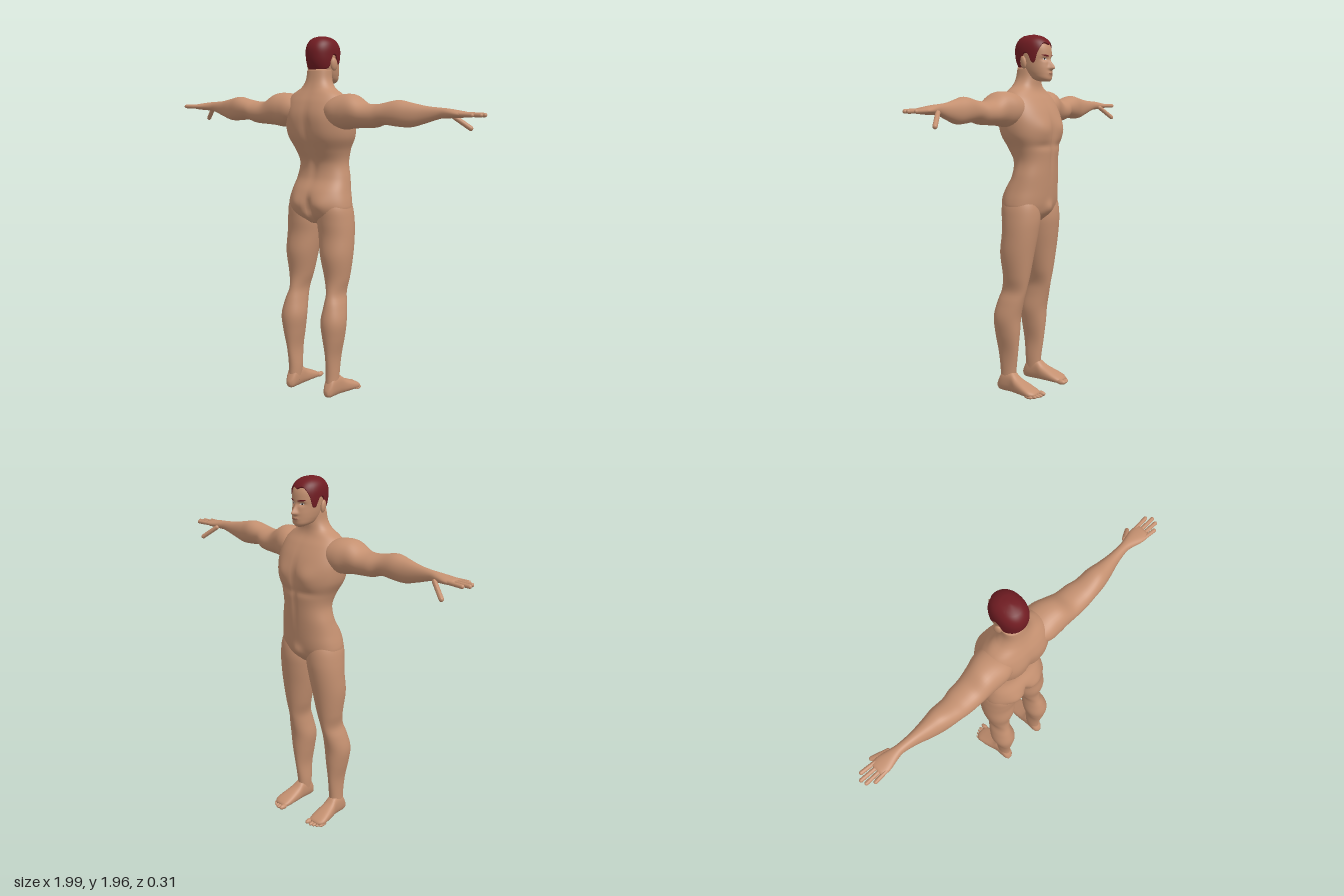
import * as THREE from 'three';

const mat = (name, color, side = THREE.FrontSide) => {
  const m = new THREE.MeshStandardMaterial({ color, side });
  m.name = name;
  return m;
};

// Smooth interpolation of rows [t, ...values]
function sample(rows, t) {
  let i = 0;
  while (i < rows.length - 2 && t > rows[i + 1][0]) i++;
  const a = rows[i], b = rows[i + 1], p = rows[i - 1] ?? a, q = rows[i + 2] ?? b;
  const h = b[0] - a[0], k = THREE.MathUtils.clamp((t - a[0]) / h, 0, 1), k2 = k * k, k3 = k2 * k;
  return a.slice(1).map((v, n) => {
    const c = n + 1;
    const m0 = (b[c] - p[c]) / (b[0] - p[0]) * h, m1 = (q[c] - a[c]) / (q[0] - a[0]) * h;
    return (2 * k3 - 3 * k2 + 1) * v + (k3 - 2 * k2 + k) * m0 + (3 * k2 - 2 * k3) * b[c] + (k3 - k2) * m1;
  });
}

// Point on a superellipse section bounded by [a0, a1, b0, b1]
function ringPoint(rows, t, ang, e) {
  const [a0, a1, b0, b1] = sample(rows, t);
  const pw = v => Math.sign(v) * Math.abs(v) ** (2 / e);
  return [(a0 + a1) / 2 + (a1 - a0) / 2 * pw(Math.cos(ang)), (b0 + b1) / 2 + (b1 - b0) / 2 * pw(Math.sin(ang))];
}

// Closed tube of rings with fan caps; fn(angle, v) gives [x, y, z]
function rings(nu, nv, fn, capStart = true) {
  const pos = [], idx = [];
  for (let j = 0; j <= nv; j++) for (let i = 0; i < nu; i++) pos.push(...fn(i / nu * Math.PI * 2, j / nv));
  const at = (j, i) => j * nu + i % nu;
  for (let j = 0; j < nv; j++) for (let i = 0; i < nu; i++)
    idx.push(at(j, i), at(j + 1, i), at(j + 1, i + 1), at(j, i), at(j + 1, i + 1), at(j, i + 1));
  const cap = (j, flip) => {
    const c = [0, 0, 0], k = pos.length / 3;
    for (let i = 0; i < nu; i++) for (let d = 0; d < 3; d++) c[d] += pos[at(j, i) * 3 + d] / nu;
    pos.push(...c);
    for (let i = 0; i < nu; i++) flip ? idx.push(k, at(j, i + 1), at(j, i)) : idx.push(k, at(j, i), at(j, i + 1));
  };
  if (capStart) cap(0, false);
  cap(nv, true);
  return finish(pos, idx);
}

function finish(pos, idx) {
  const g = new THREE.BufferGeometry();
  g.setAttribute('position', new THREE.Float32BufferAttribute(pos, 3));
  g.setIndex(idx);
  g.computeVertexNormals();
  return g;
}

// Loft through rows; place(t, a, b) sets the axis order
function loft(rows, nu, nv, e, place) {
  const t0 = rows[0][0], t1 = rows[rows.length - 1][0];
  return rings(nu, nv, (ang, v) => {
    const t = t0 + (t1 - t0) * v;
    return place(t, ...ringPoint(rows, t, ang, e));
  });
}

function mirror(geo) {
  const g = geo.clone(), p = g.attributes.position, ix = g.index.array;
  for (let i = 0; i < p.count; i++) p.setX(i, -p.getX(i));
  for (let i = 0; i < ix.length; i += 3) [ix[i], ix[i + 1]] = [ix[i + 1], ix[i]];
  g.computeVertexNormals();
  return g;
}

// Rounded finger between two points
function digit(p, q, r) {
  const a = new THREE.Vector3(...p), b = new THREE.Vector3(...q), d = b.clone().sub(a);
  const g = new THREE.CapsuleGeometry(r, d.length() - r, 6, 12);
  g.applyQuaternion(new THREE.Quaternion().setFromUnitVectors(new THREE.Vector3(0, 1, 0), d.clone().normalize()));
  const c = a.add(b).multiplyScalar(0.5);
  return g.translate(c.x, c.y, c.z);
}

const ball = (x, y, z, sx, sy, sz) => new THREE.SphereGeometry(1, 20, 14).scale(sx, sy, sz).translate(x, y, z);
const bell = (v, c, r) => Math.exp(-(((v - c) / r) ** 2));
const symmetric = rows => rows.map(([y, w, f, b]) => [y, -w, w, f, b]);

// Section rows: the figure faces -z
const torsoRows = symmetric([
  [0.96, 0.09, -0.05, 0.07], [1.0, 0.165, -0.09, 0.112], [1.04, 0.188, -0.106, 0.128], [1.08, 0.186, -0.114, 0.132],
  [1.14, 0.172, -0.12, 0.118], [1.21, 0.157, -0.125, 0.082], [1.29, 0.142, -0.13, 0.077], [1.36, 0.158, -0.136, 0.108],
  [1.43, 0.192, -0.138, 0.14], [1.5, 0.203, -0.134, 0.152], [1.56, 0.2, -0.115, 0.152], [1.62, 0.185, -0.08, 0.135],
  [1.66, 0.15, -0.05, 0.115], [1.69, 0.1, -0.04, 0.1], [1.73, 0.073, -0.04, 0.086], [1.79, 0.066, -0.04, 0.075]]);
const legRows = [
  [0.04, 0.1, 0.165, 0.03, 0.122], [0.12, 0.097, 0.163, 0.025, 0.12], [0.23, 0.1, 0.168, 0.01, 0.132],
  [0.34, 0.082, 0.192, 0, 0.147], [0.43, 0.07, 0.204, -0.005, 0.152], [0.52, 0.08, 0.188, -0.025, 0.13],
  [0.58, 0.083, 0.172, -0.04, 0.11], [0.66, 0.06, 0.187, -0.055, 0.1], [0.79, 0.03, 0.205, -0.075, 0.115],
  [0.9, 0.011, 0.205, -0.092, 0.107], [0.98, 0.002, 0.2, -0.1, 0.112], [1.06, 0.015, 0.187, -0.092, 0.112],
  [1.14, 0.04, 0.15, -0.06, 0.08]];
const armRows = [
  [0.08, -0.01, 0.12, 1.54, 1.62], [0.14, -0.055, 0.143, 1.49, 1.65], [0.2, -0.055, 0.145, 1.477, 1.663],
  [0.26, -0.035, 0.143, 1.485, 1.658], [0.33, -0.022, 0.14, 1.49, 1.618], [0.4, -0.015, 0.138, 1.495, 1.614],
  [0.45, 0, 0.135, 1.51, 1.622], [0.53, 0.003, 0.125, 1.504, 1.637], [0.6, 0.012, 0.107, 1.503, 1.625],
  [0.68, 0.02, 0.083, 1.525, 1.61], [0.76, 0.02, 0.07, 1.55, 1.603], [0.8, 0.012, 0.076, 1.553, 1.6],
  [0.86, 0, 0.09, 1.556, 1.592], [0.905, 0.004, 0.088, 1.561, 1.585]];
const footRows = [
  [-0.125, 0.006, 0.028, 0.105, 0.175], [-0.1, 0, 0.042, 0.095, 0.195], [-0.06, 0, 0.06, 0.092, 0.194], [0, 0, 0.088, 0.094, 0.182],
  [0.04, 0, 0.118, 0.098, 0.17], [0.1, 0, 0.115, 0.1, 0.165], [0.125, 0.003, 0.07, 0.107, 0.158], [0.137, 0.015, 0.045, 0.12, 0.147]];
const headRows = symmetric([
  [1.715, 0.022, -0.108, -0.06], [1.73, 0.045, -0.118, -0.01], [1.755, 0.058, -0.119, 0.03], [1.785, 0.066, -0.118, 0.06],
  [1.82, 0.071, -0.113, 0.078], [1.86, 0.074, -0.114, 0.086], [1.9, 0.073, -0.107, 0.084], [1.93, 0.062, -0.087, 0.068],
  [1.95, 0.038, -0.054, 0.042], [1.957, 0.01, -0.022, 0.012]]);
const HEAD_E = 2.2;

// Chest, spine and seat modelling
function torsoShape(x, y, z) {
  const ax = Math.abs(x);
  if (z < 0) {
    const w = Math.min(1, -z / 0.06);
    z -= w * (0.016 * bell(ax, 0.085, 0.06) * bell(y, 1.46, 0.055) + 0.018 * bell(x, 0, 0.032) * bell(y, 1.03, 0.035));
    z += w * (0.009 * bell(x, 0, 0.014) * bell(y, 1.38, 0.15) + 0.007 * bell(ax, 0.07, 0.07) * bell(y, 1.375, 0.02));
  } else {
    const w = Math.min(1, z / 0.06);
    z += w * (0.014 * bell(ax, 0.08, 0.05) * bell(y, 1.07, 0.055) + 0.006 * bell(ax, 0.1, 0.05) * bell(y, 1.5, 0.1));
    z -= w * (0.014 * bell(x, 0, 0.025) * bell(y, 1.4, 0.17) + 0.035 * bell(x, 0, 0.016) * bell(y, 1.04, 0.055));
  }
  return [x, y, z];
}

// Nose, eye sockets, lips and chin
function faceShape(x, y, z) {
  if (z > -0.03) return [x, y, z];
  const nose = y > 1.787 ? bell(y, 1.787, 0.032) : bell(y, 1.787, 0.01);
  z -= 0.029 * nose * bell(x, 0, 0.009 + 0.005 * bell(y, 1.785, 0.015));
  z += 0.011 * bell(Math.abs(x), 0.03, 0.017) * bell(y, 1.834, 0.011);
  z -= 0.006 * bell(x, 0, 0.02) * bell(y, 1.758, 0.01);
  return [x, y, z];
}

function faceZ(x, y) {
  const [, w, f, b] = sample(headRows, y);
  const z = (f + b) / 2 - (b - f) / 2 * (1 - (Math.abs(x) / w) ** HEAD_E) ** (1 / HEAD_E);
  return faceShape(x, y, z)[2];
}

// Lens-shaped plate lying on the face
function lens(cx, cy, w, h, tilt, lift) {
  const pos = [], idx = [], n = 16, m = 4;
  for (let j = 0; j <= m; j++) for (let i = 0; i <= n; i++) {
    const u = i / n * 2 - 1, v = j / m * 2 - 1;
    const x = cx + w * u, y = cy + tilt * u + h * v * Math.sqrt(1 - u * u);
    pos.push(x, y, faceZ(x, y) - lift);
    if (i < n && j < m) {
      const a = j * (n + 1) + i, b = a + n + 1;
      idx.push(a, b, b + 1, a, b + 1, a + 1);
    }
  }
  return finish(pos, idx);
}

// Hairline height by degrees from the brow round to the nape
const hairline = [[0, 1.905], [22, 1.915], [40, 1.9], [56, 1.865], [66, 1.82], [78, 1.818], [86, 1.858], [100, 1.858],
  [112, 1.805], [140, 1.787], [180, 1.785]];

function hairGeometry() {
  return rings(96, 24, (ang, v) => {
    const d = Math.acos(THREE.MathUtils.clamp(-Math.sin(ang), -1, 1)) * 180 / Math.PI;
    const y = THREE.MathUtils.lerp(sample(hairline, d)[0], 1.957, v);
    const [x, z] = ringPoint(headRows, y, ang, HEAD_E);
    const p = new THREE.Vector3(x, y, z);
    const out = p.clone().sub(new THREE.Vector3(0, 1.86, -0.013)).normalize();
    return p.addScaledVector(out, v === 0 ? -0.003 : 0.007).toArray();
  }, false);
}

export function createModel() {
  const skin = mat('skin', 0xc49070), hair = mat('hair', 0x701c22, THREE.DoubleSide);
  const white = mat('eyeWhite', 0xd8cfc8), dark = mat('iris', 0x2e1c18), lip = mat('lips', 0xa06a55);
  const model = new THREE.Group();
  model.name = 'standingFigure';
  const add = (name, geo, m = skin) => {
    const mesh = new THREE.Mesh(geo, m);
    mesh.name = name;
    model.add(mesh);
  };
  const pair = (name, geo, m) => {
    add(name + 'Left', geo, m);
    add(name + 'Right', mirror(geo), m);
  };

  // Body and head
  add('torso', loft(torsoRows, 96, 80, 2.3, (t, a, b) => torsoShape(a, t, b)));
  add('head', loft(headRows, 112, 80, HEAD_E, (t, a, b) => faceShape(a, t, b)));
  add('hair', hairGeometry(), hair);
  pair('ear', ball(0, 0, 0, 0.012, 0.034, 0.021).rotateY(-0.35).rotateX(0.15).translate(0.083, 1.817, 0.002));

  // Limbs
  pair('leg', loft(legRows, 40, 64, 2.1, (t, a, b) => [a, t, b]));
  pair('arm', loft(armRows, 36, 64, 2.1, (t, a, b) => [t, b, a]));
  pair('foot', loft(footRows, 32, 24, 2.4, (t, a, b) => [b, a, t]));
  for (let i = 0; i < 5; i++) {
    const r = i ? 0.0105 - i * 0.0004 : 0.0145;
    pair('toe' + (i + 1), ball([0.109, 0.134, 0.153, 0.171, 0.187][i], r, -0.128 + i * i * 0.002, r, r, 0.028));
  }

  // Fingers: base z, tip x, tip z
  [[0.013, 0.975, 0.005], [0.036, 0.998, 0.032], [0.059, 0.99, 0.06], [0.079, 0.955, 0.085]].forEach(([z, tx, tz], i) =>
    pair('finger' + (i + 1), digit([0.87, 1.574, z], [tx - 0.006, 1.573, tz], 0.0105)));
  pair('thumb', digit([0.8, 1.567, 0.012], [0.885, 1.5, -0.036], 0.0125));

  // Painted face
  for (const [s, side] of [[1, 'Left'], [-1, 'Right']]) {
    add('eye' + side, lens(s * 0.031, 1.834, 0.012, 0.005, s * 0.001, 0.002), white);
    add('iris' + side, lens(s * 0.031, 1.834, 0.0045, 0.0045, 0, 0.003), dark);
    add('eyebrow' + side, lens(s * 0.032, 1.852, 0.02, 0.004, s * 0.003, 0.003), hair);
  }
  add('mouth', lens(0, 1.757, 0.02, 0.005, 0, 0.0015), lip);
  return model;
}
